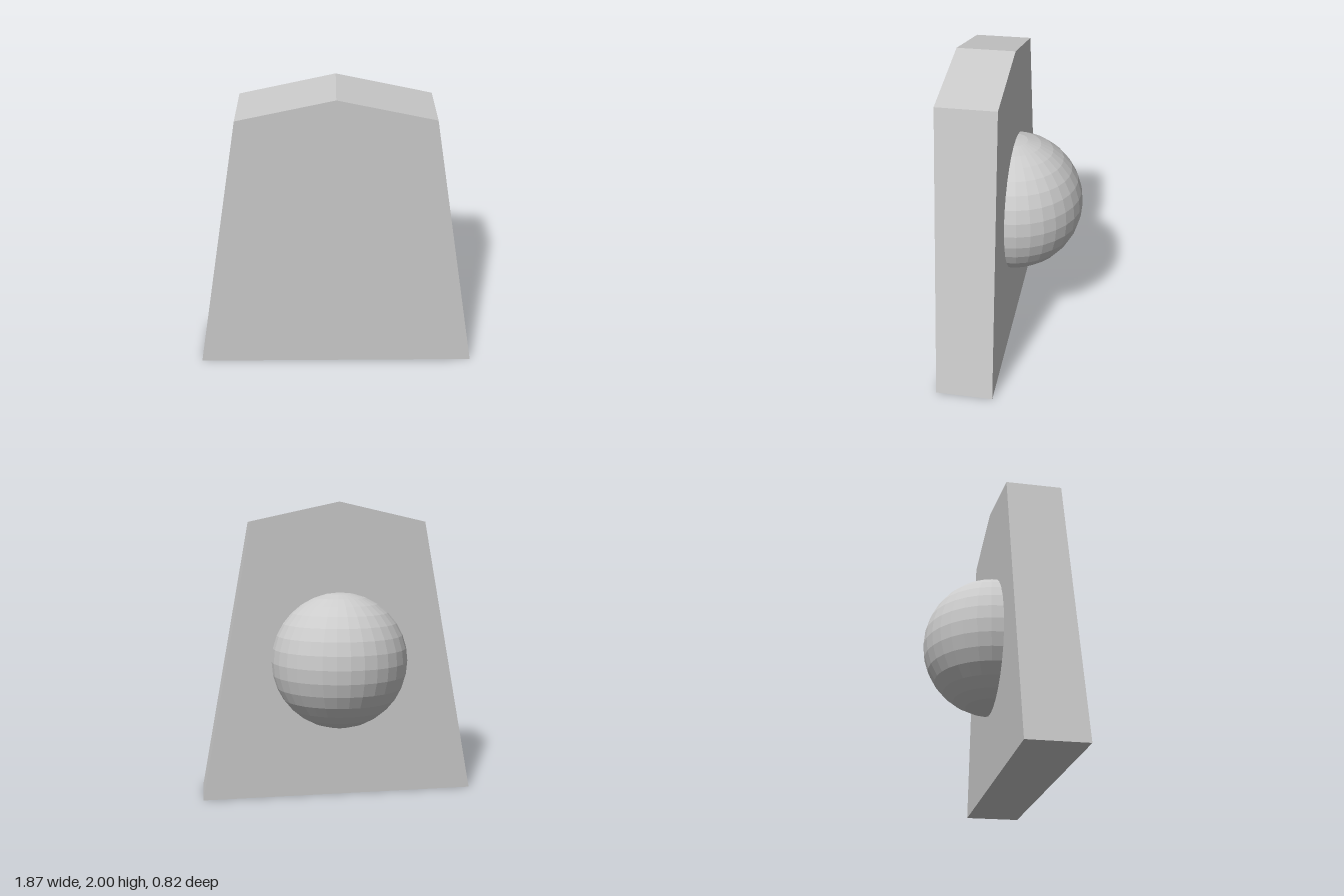
import * as THREE from 'three';

export function createModel() {
  const group = new THREE.Group();
  const material = new THREE.MeshStandardMaterial({ color: 0xcccccc, flatShading: true });

  // Tapered slab with a shallow peaked top
  const outline = new THREE.Shape([
    [-0.935, 0], [0.935, 0], [0.587, 1.87], [0, 2], [-0.587, 1.87],
  ].map(([x, y]) => new THREE.Vector2(x, y)));
  const slabBack = 0.04, slabFront = 0.41;
  const slabGeometry = new THREE.ExtrudeGeometry(outline, {
    depth: slabFront - slabBack,
    bevelEnabled: false,
  });
  slabGeometry.translate(0, 0, slabBack);
  const slab = new THREE.Mesh(slabGeometry, material);
  slab.name = 'slab';
  group.add(slab);

  // Faceted half sphere on the back, its rim just inside the slab
  const domeGeometry = new THREE.SphereGeometry(0.463, 16, 16, Math.PI, Math.PI);
  const dome = new THREE.Mesh(domeGeometry, material);
  dome.name = 'backDome';
  dome.position.set(0, 0.937, 0.053);
  group.add(dome);

  return group;
}
